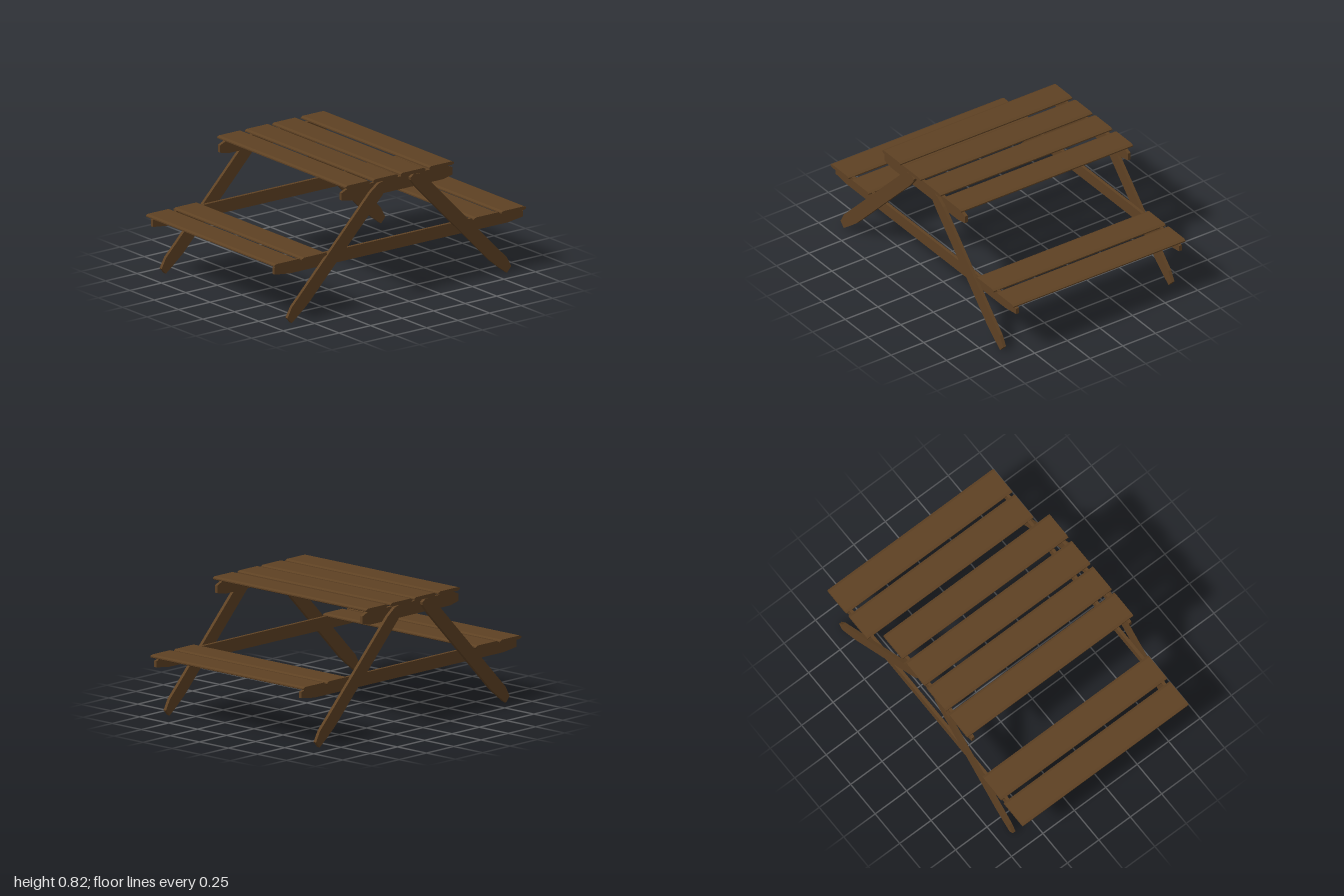
import * as THREE from 'three';

const wood = new THREE.MeshStandardMaterial({ color: 0x5e4123 });
wood.name = 'brown wood';

// Extrude an outline in x/y between two depths
function board(name, points, z0, z1) {
  const shape = new THREE.Shape(points.map(([x, y]) => new THREE.Vector2(x, y)));
  const geometry = new THREE.ExtrudeGeometry(shape, { depth: z1 - z0, bevelEnabled: false });
  geometry.translate(0, 0, z0);
  const mesh = new THREE.Mesh(geometry, wood);
  mesh.name = name;
  return mesh;
}

// Long plank with softened edges
function plank(name, x, y) {
  const w = 0.098, h = 0.0115;
  const outline = [
    [-w, -0.004], [-w + 0.016, -h], [w - 0.016, -h], [w, -0.004],
    [w, 0.004], [w - 0.016, h], [-w + 0.016, h], [-w, 0.004],
  ];
  return board(name, outline.map(([px, py]) => [px + x, py + y]), -0.66, 0.66);
}

export function createModel() {
  const model = new THREE.Group();
  model.name = 'picnicTable';

  // Table top and bench planks
  for (const x of [-0.337, -0.117, 0.1, 0.326]) model.add(plank('tablePlank', x, 0.8085));
  for (const x of [-0.902, -0.682, 0.682, 0.898]) model.add(plank('benchPlank', x, 0.4015));

  // Outlines of the end frame pieces
  const tableBeam = [
    [-0.447, 0.722], [-0.375, 0.706], [0.36, 0.706], [0.432, 0.722],
    [0.432, 0.77], [0.385, 0.79], [-0.4, 0.79], [-0.447, 0.77],
  ];
  const benchBeam = [
    [-0.978, 0.336], [-0.86, 0.322], [0.87, 0.322], [0.99, 0.338],
    [0.99, 0.378], [0.87, 0.404], [-0.86, 0.404], [-0.978, 0.382],
  ];
  const leg = [
    [0.853, 0], [0.887, 0.038], [0.85, 0.105], [0.805, 0.15],
    [0.23, 0.737], [0.165, 0.785], [0.12, 0.797], [0.088, 0.775],
    [0.092, 0.757], [0.135, 0.703], [0.715, 0.11], [0.793, 0.046],
  ];
  const mirroredLeg = leg.map(([x, y]) => [-x, y]).reverse();

  // Matching frames at the front and back
  for (const side of [1, -1]) {
    const frame = new THREE.Group();
    frame.name = side > 0 ? 'frontFrame' : 'backFrame';
    const add = (name, points, inner, outer) => frame.add(
      board(name, points, Math.min(side * inner, side * outer), Math.max(side * inner, side * outer)));
    add('tableBeam', tableBeam, 0.614, 0.635);
    add('benchBeam', benchBeam, 0.614, 0.635);
    add('leftLeg', leg.map(([x, y]) => [x - 0.007, y]), 0.635, 0.657);
    add('rightLeg', mirroredLeg.map(([x, y]) => [x - 0.007, y]), 0.635, 0.657);
    model.add(frame);
  }
  return model;
}
